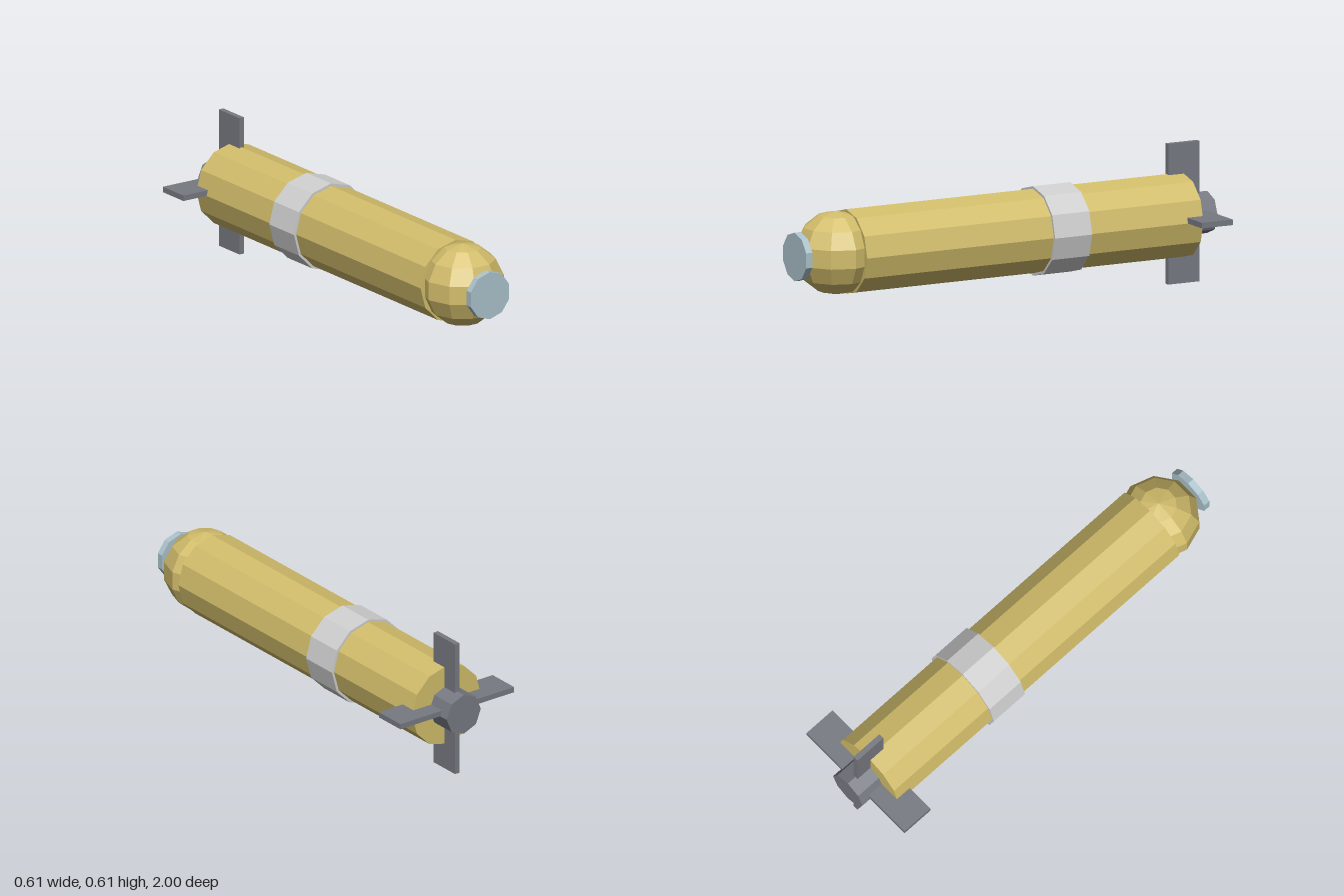
import * as THREE from 'three';

const AXIS_Y = 0.293; // height of the long axis

function makeMaterial(name, color) {
  const m = new THREE.MeshStandardMaterial({ color, flatShading: true });
  m.name = name;
  return m;
}

export function createModel() {
  const group = new THREE.Group();
  group.name = 'torpedo';
  const gold = makeMaterial('gold', 0xd2bd6b);
  const silver = makeMaterial('silver', 0xcfcfcf);
  const grey = makeMaterial('grey', 0x777a82);
  const paleBlue = makeMaterial('paleBlue', 0xabc2cb);

  const add = (name, geometry, material, x, y, z) => {
    const mesh = new THREE.Mesh(geometry, material);
    mesh.name = name;
    mesh.position.set(x, y, z);
    group.add(mesh);
  };

  // faceted cylinder lying along z, between two z positions
  const barrel = (name, radius, sides, z0, z1, material) => {
    const geometry = new THREE.CylinderGeometry(radius, radius, z1 - z0, sides);
    geometry.rotateX(Math.PI / 2);
    add(name, geometry, material, 0, AXIS_Y, (z0 + z1) / 2);
  };

  barrel('body', 0.182, 12, -0.88, 0.75, gold);
  barrel('band', 0.193, 12, -0.335, -0.155, silver);
  barrel('noseCap', 0.105, 10, 0.97, 1.0, paleBlue);
  barrel('tailHub', 0.091, 8, -1.0, -0.86, grey);

  // rounded nose, poles pointing up and down
  add('nose', new THREE.SphereGeometry(0.18, 10, 7), gold, 0, AXIS_Y, 0.8);

  // crossed tail fins running through the body
  add('verticalFins', new THREE.BoxGeometry(0.024, 0.606, 0.15), grey, 0, 0.303, -0.88);
  add('horizontalFins', new THREE.BoxGeometry(0.606, 0.024, 0.15), grey, 0, 0.305, -0.88);

  return group;
}
